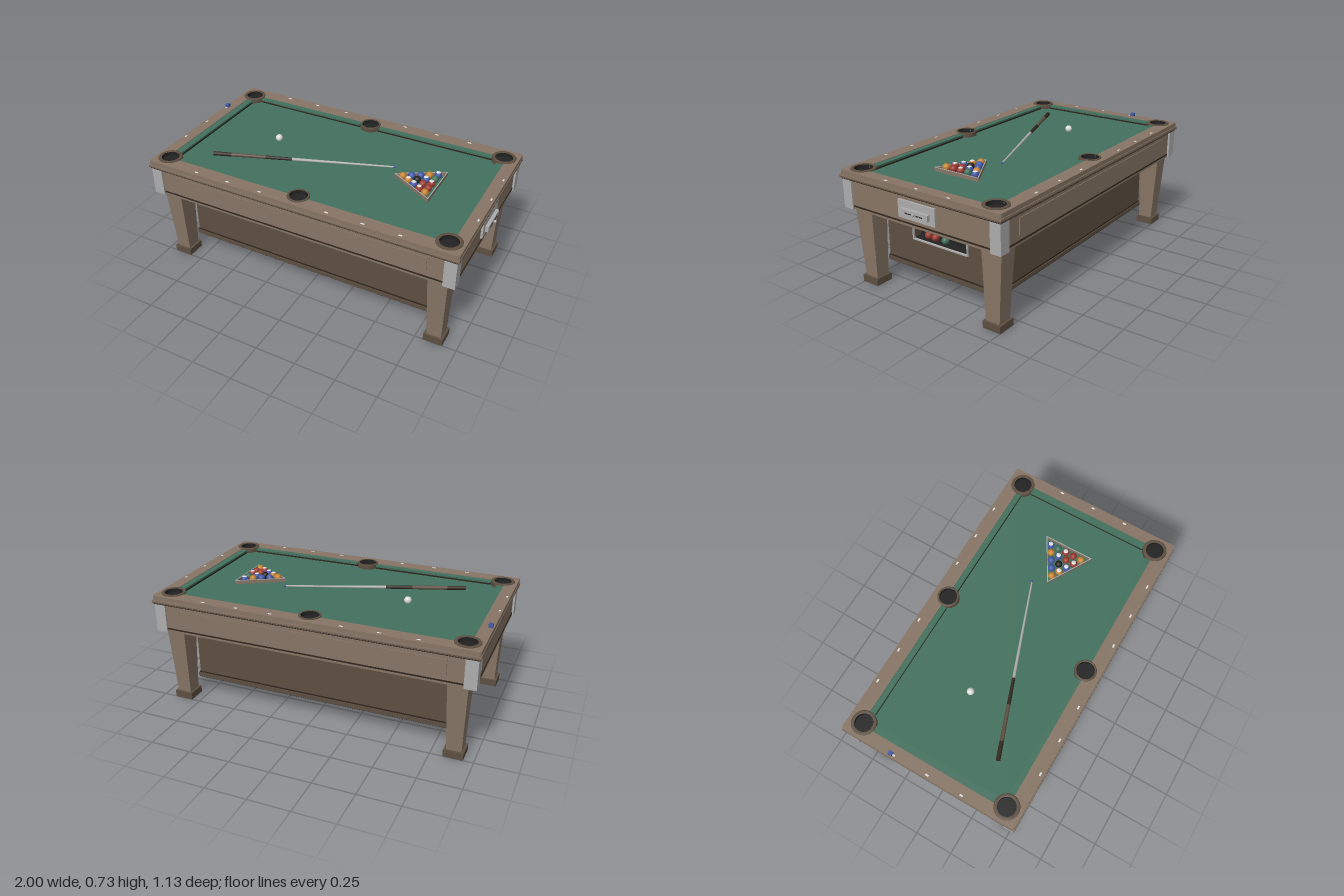
import * as THREE from 'three';

const mat = (name, color, side = THREE.FrontSide) => {
  const m = new THREE.MeshStandardMaterial({ color, side });
  m.name = name;
  return m;
};

export function createModel() {
  const M = {
    wood: mat('wood', 0x877565),
    darkWood: mat('dark wood', 0x5d4f41),
    trim: mat('trim', 0x30271f),
    felt: mat('green', 0x42705d),
    metal: mat('metal', 0xadadad),
    black: mat('black', 0x222222, THREE.DoubleSide),
    white: mat('white', 0xdddddd),
    orange: mat('orange', 0xc6822f),
    red: mat('red', 0x9a392f),
    blue: mat('blue', 0x4359a6),
  };
  const root = new THREE.Group();
  root.name = 'poolTable';
  const table = new THREE.Group();
  table.name = 'table';
  table.position.x = -0.0125;
  root.add(table);

  const add = (parent, name, geo, m, x = 0, y = 0, z = 0) => {
    const mesh = new THREE.Mesh(geo, m);
    mesh.name = name;
    mesh.position.set(x, y, z);
    parent.add(mesh);
    return mesh;
  };
  // box given by its centre, sizes and vertical range
  const box = (parent, name, m, x, z, w, d, y0, y1) =>
    add(parent, name, new THREE.BoxGeometry(w, y1 - y0, d), m, x, (y0 + y1) / 2, z);
  // plan outline (x, -z) raised from y0 to y1
  const slab = (parent, name, m, shape, y0, y1) => {
    const geo = new THREE.ExtrudeGeometry(shape, { depth: y1 - y0, bevelEnabled: false, curveSegments: 20 });
    return add(parent, name, geo.rotateX(-Math.PI / 2), m, 0, y0, 0);
  };
  const poly = (pts, Type = THREE.Shape) => new Type(pts.map(p => new THREE.Vector2(...p)));

  // Rail frame with round cut-outs at the pockets
  const PX = 0.895, PZ = 0.465, BED = 0.682;
  const frame = poly([[-0.985, -0.55], [-0.977, -0.558], [0.977, -0.558], [0.985, -0.55],
    [0.985, 0.55], [0.977, 0.558], [-0.977, 0.558], [-0.985, 0.55]]);
  const opening = new THREE.Path();
  const rad = a => a * Math.PI / 180;
  [[-PX, -PZ, 106.5, 353.3], [0, -PZ, 186.7, 353.3], [PX, -PZ, 186.7, 433.5],
    [PX, PZ, -73.5, 173.3], [0, PZ, 6.7, 173.3], [-PX, PZ, 6.7, 253.5]].forEach(([x, z, a, b]) =>
    opening.absarc(x, z, 0.06, rad(a), rad(b), false));
  opening.closePath();
  frame.holes.push(opening);
  slab(table, 'railTop', M.wood, frame, 0.678, 0.706);
  box(table, 'railBand', M.wood, 0, 0, 1.975, 1.125, 0.661, 0.68);
  box(table, 'railShadowLine', M.trim, 0, 0, 1.962, 1.112, 0.653, 0.661);
  box(table, 'railBead', M.darkWood, 0, 0, 1.977, 1.127, 0.663, 0.668);

  // Playing bed and cushions
  box(table, 'bed', M.felt, 0, 0, 1.83, 0.95, 0.676, BED);
  const cushion = pts => {
    slab(table, 'cushion', M.felt, poly(pts), 0.692, 0.703);
    slab(table, 'cushionUnderside', M.trim, poly(pts), BED, 0.692);
  };
  for (const s of [-1, 1]) {
    for (const t of [-1, 1]) {
      const p = [[0.05, 0.475], [0.068, 0.438], [0.822, 0.438], [0.845, 0.475]].map(([x, z]) => [s * x, t * z]);
      cushion(s * t > 0 ? p : p.reverse());
    }
    const e = [[0.914, -0.415], [0.914, 0.415], [0.87, 0.392], [0.87, -0.392]].map(([x, z]) => [s * x, z]);
    cushion(s > 0 ? e : e.reverse());
  }

  // Pockets
  for (const x of [-PX, 0, PX]) for (const z of [-PZ, PZ]) {
    const r = x ? 0.073 : 0.066;
    const ring = [[r, BED], [r, 0.707], [r - 0.003, 0.711], [0.054, 0.711], [0.053, 0.708]];
    add(table, 'pocketRing', new THREE.LatheGeometry(ring.map(p => new THREE.Vector2(...p)), 28), M.darkWood, x, 0, z);
    add(table, 'pocketWall', new THREE.CylinderGeometry(0.053, 0.053, 0.026, 28, 1, true), M.black, x, 0.696, z);
    add(table, 'pocketFloor', new THREE.CylinderGeometry(0.054, 0.054, 0.004, 28), M.black, x, 0.684, z);
  }

  // Sight markers on the rails
  for (const s of [-1, 1]) {
    for (const x of [0.215, 0.433, 0.651]) for (const z of [-0.535, 0.535])
      box(table, 'sight', M.white, s * x, z, 0.022, 0.01, 0.704, 0.7075);
    for (const z of [-0.22, 0, 0.22]) box(table, 'sight', M.white, s * 0.967, z, 0.01, 0.02, 0.704, 0.7075);
  }

  // Apron with raised panels, trim and metal corners
  box(table, 'apron', M.wood, 0, 0, 1.93, 1.08, 0.482, 0.655);
  box(table, 'apronTrimLine', M.trim, 0, 0, 1.938, 1.088, 0.493, 0.501);
  box(table, 'apronFoot', M.wood, 0, 0, 1.938, 1.088, 0.48, 0.493);
  box(table, 'apronUnderside', M.darkWood, 0, 0, 1.92, 1.07, 0.478, 0.484);
  for (const s of [-1, 1]) box(table, 'sidePanel', M.wood, 0, s * 0.541, 1.62, 0.008, 0.53, 0.625);
  box(table, 'endPanel', M.wood, -0.966, 0, 0.008, 0.84, 0.53, 0.625);
  for (const x of [-0.9425, 0.9425]) for (const z of [-0.5195, 0.5195])
    box(table, 'cornerCap', M.metal, x, z, 0.07, 0.067, 0.479, 0.657);

  // Tapered legs on square feet
  for (const sx of [-1, 1]) for (const sz of [-1, 1]) {
    const geo = new THREE.BoxGeometry(1, 0.44, 1);
    const p = geo.attributes.position;
    for (let i = 0; i < p.count; i++) {
      const top = p.getY(i) > 0;
      p.setX(i, p.getX(i) * (top ? 0.116 : 0.088));
      p.setZ(i, p.getZ(i) * (top ? 0.13 : 0.09) + sz * (top ? 0.455 : 0.446));
    }
    geo.computeVertexNormals();
    add(table, 'leg', geo, M.wood, sx * 0.871, 0.26, 0);
    box(table, 'foot', M.darkWood, sx * 0.871, sz * 0.4475, 0.116, 0.115, 0.002, 0.045);
    box(table, 'footPad', M.black, sx * 0.871, sz * 0.4475, 0.065, 0.065, 0, 0.003);
  }

  // Lower cabinet, with a window cut in one end
  box(table, 'cabinet', M.darkWood, -0.03, 0, 1.54, 0.8, 0.15, 0.479);
  const end = poly([[-0.4, 0.15], [0.4, 0.15], [0.4, 0.479], [-0.4, 0.479]]);
  const rect = (w, y0, y1, Type) => poly([[-w, y0], [w, y0], [w, y1], [-w, y1]], Type);
  end.holes.push(rect(0.193, 0.317, 0.411, THREE.Path));
  const endGeo = new THREE.ExtrudeGeometry(end, { depth: 0.06, bevelEnabled: false }).rotateY(Math.PI / 2);
  add(table, 'cabinetEnd', endGeo, M.darkWood, 0.74);
  const border = rect(0.2, 0.31, 0.418, THREE.Shape);
  border.holes.push(rect(0.192, 0.318, 0.41, THREE.Path));
  const borderGeo = new THREE.ExtrudeGeometry(border, { depth: 0.012, bevelEnabled: false }).rotateY(Math.PI / 2);
  add(table, 'windowFrame', borderGeo, M.metal, 0.798);
  box(table, 'windowBack', M.black, 0.742, 0, 0.006, 0.386, 0.317, 0.411);
  box(table, 'windowLedge', M.black, 0.77, 0, 0.05, 0.384, 0.317, 0.324);
  box(table, 'cabinetTrimLine', M.trim, 0, 0, 1.608, 0.808, 0.153, 0.161);
  box(table, 'cabinetBase', M.darkWood, 0, 0, 1.615, 0.82, 0.128, 0.153);
  box(table, 'cabinetBottom', M.black, 0, 0, 1.61, 0.815, 0.125, 0.129);

  // Coin slide
  box(root, 'coinPlate', M.metal, 0.958, 0, 0.014, 0.26, 0.524, 0.627);
  box(root, 'coinSlide', M.metal, 0.97, 0, 0.028, 0.19, 0.551, 0.588);
  for (const z of [-0.052, -0.026, 0, 0.026, 0.052])
    box(root, 'coinSlot', M.black, 0.985, z, 0.004, 0.018, 0.565, 0.57);
  add(root, 'coinKnob', new THREE.CylinderGeometry(0.008, 0.008, 0.018, 16).rotateZ(Math.PI / 2), M.metal, 0.991, 0.569, 0);

  // Balls: solid, or white with a coloured band
  const R = 0.022;
  const solid = new THREE.SphereGeometry(R, 24, 16);
  const band = new THREE.SphereGeometry(R * 1.015, 24, 8, 0, Math.PI * 2, Math.PI * 0.22, Math.PI * 0.56);
  const ball = (m, striped, x, y, z) => {
    add(root, 'ball', solid, striped ? M.white : m, x, y, z);
    if (striped) add(root, 'ballStripe', band, m, x, y, z);
  };
  ball(M.white, false, -0.45, BED + R, -0.043);
  const { orange: O, red: D, blue: B, felt: G, black: K } = M;
  const rows = [[[O]], [[B], [O, 1]], [[B], [K], [B, 1]], [[O], [B, 1], [D], [D, 1]],
    [[B, 1], [G], [D, 1], [D], [O]]];
  rows.forEach((row, i) => row.forEach(([m, striped], j) =>
    ball(m, striped, 0.42 + i * 0.0448, BED + R, (j - i / 2) * 0.052)));
  for (const [m, z] of [[D, 0.108], [D, 0.056], [G, -0.016]]) ball(m, false, 0.765, 0.324 + R, z);

  // Triangle rack
  const rack = poly([[0.366, 0], [0.64, -0.158], [0.64, 0.158]]);
  rack.holes.push(poly([[0.376, 0], [0.635, -0.1495], [0.635, 0.1495]], THREE.Path));
  slab(root, 'rack', M.wood, rack, BED, 0.704);
  slab(root, 'rackTop', M.metal, rack, 0.704, 0.706);

  // Cue, laid from butt to tip
  const cue = new THREE.Group();
  cue.name = 'cue';
  const butt = new THREE.Vector3(-0.713, BED + 0.013, 0.294);
  const dir = new THREE.Vector3(0.34, BED + 0.008, -0.088).sub(butt);
  const len = dir.length();
  cue.position.copy(butt);
  cue.quaternion.setFromUnitVectors(new THREE.Vector3(0, 1, 0), dir.normalize());
  const rAt = t => 0.013 - 0.008 * t;
  [[0, 0.1, M.trim], [0.1, 0.29, M.darkWood], [0.29, 0.435, M.trim], [0.435, 0.985, M.metal], [0.985, 1, M.blue]]
    .forEach(([a, b, m]) => add(cue, 'cueSection',
      new THREE.CylinderGeometry(rAt(b), rAt(a), (b - a) * len, 16), m, 0, (a + b) / 2 * len, 0));
  root.add(cue);

  // Chalk on the rail
  box(root, 'chalk', M.blue, -0.978, -0.238, 0.024, 0.024, 0.706, 0.727);
  return root;
}
